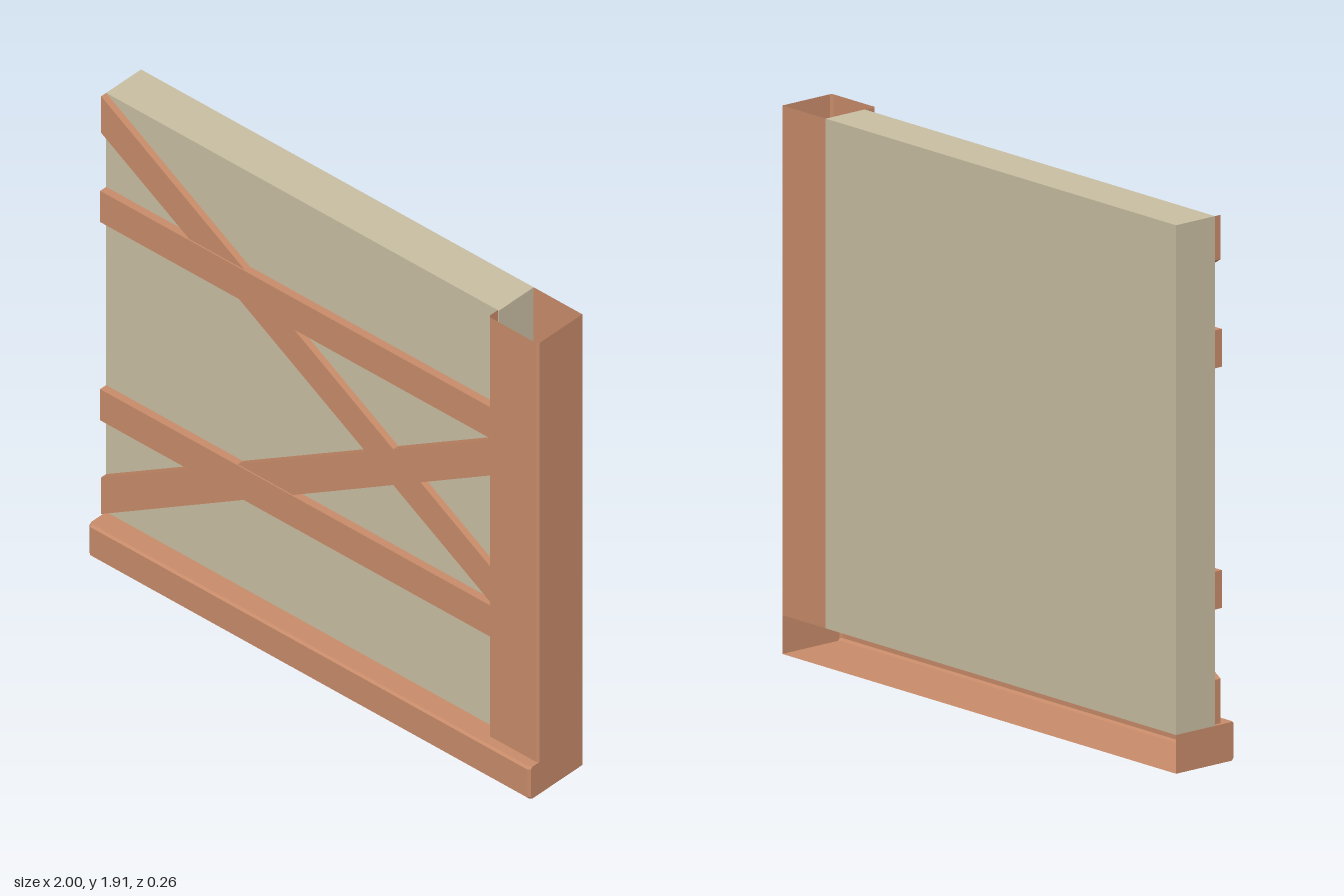
import * as THREE from 'three';

const wood = new THREE.MeshStandardMaterial({ color: 0xc98c6a, side: THREE.DoubleSide });
const plaster = new THREE.MeshStandardMaterial({ color: 0xcabfa3 });

const BACK = -0.132, FRONT = 0.132, FACE = 0.042, POST_FRONT = 0.089;
const TOP = 1.91, SILL = 0.135, POST_X = 0.775, BEVEL = 0.008;

// Flat-shaded skin across successive open cross-sections
function sheet(sections) {
  const pos = [];
  for (let i = 0; i < sections.length - 1; i++) {
    for (let j = 0; j < sections[i].length - 1; j++) {
      const a = sections[i][j], b = sections[i][j + 1];
      const c = sections[i + 1][j + 1], d = sections[i + 1][j];
      pos.push(...a, ...c, ...b, ...a, ...d, ...c);
    }
  }
  const geo = new THREE.BufferGeometry();
  geo.setAttribute('position', new THREE.Float32BufferAttribute(pos, 3));
  geo.computeVertexNormals();
  return geo;
}

// Flat board cut from an outline in x, y, standing proud of the panel
function board(points, front) {
  const shape = new THREE.Shape(points.map(([x, y]) => new THREE.Vector2(x, y)));
  const geo = new THREE.ExtrudeGeometry(shape, { depth: front - FACE, bevelEnabled: false });
  return geo.translate(0, 0, FACE);
}

export function createModel() {
  const group = new THREE.Group();
  const add = (name, geometry, material) => {
    const mesh = new THREE.Mesh(geometry, material);
    mesh.name = name;
    group.add(mesh);
  };

  // Plaster infill panel
  const panel = new THREE.BoxGeometry(POST_X + 0.005 + 1, TOP - SILL, FACE - BACK);
  panel.translate((POST_X + 0.005 - 1) / 2, (TOP + SILL) / 2, (FACE + BACK) / 2);
  add('wallPanel', panel, plaster);

  // Sill: open-backed trough with bevelled front edges and closed ends
  const sillSection = (x, f) => [
    [x, 0, BACK], [x, 0, f - BEVEL], [x, BEVEL, f],
    [x, SILL - BEVEL, f], [x, SILL, f - BEVEL], [x, SILL, POST_FRONT],
  ];
  const endPoint = (x) => Array.from({ length: 6 }, () => [x, SILL, BACK]);
  add('sillBeam', sheet([
    endPoint(-1), sillSection(-1, FRONT - BEVEL), sillSection(-1 + BEVEL, FRONT),
    sillSection(1 - BEVEL, FRONT), sillSection(1, FRONT - BEVEL), endPoint(1),
  ]), wood);

  // Ledge joining the sill to the panel, stopping at the post
  add('sillLedge', sheet([-1, POST_X].map((x) => [[x, SILL, POST_FRONT], [x, SILL, FACE]])), wood);

  // Corner post: hollow, open at top and bottom
  const postProfile = [
    [POST_X, FACE], [POST_X, POST_FRONT - BEVEL], [POST_X + BEVEL, POST_FRONT],
    [1 - BEVEL, POST_FRONT], [1, POST_FRONT - BEVEL], [1, BACK], [POST_X + 0.005, BACK],
  ];
  add('cornerPost', sheet([TOP, SILL].map((y) => postProfile.map(([x, z]) => [x, y, z]))), wood);

  // Horizontal rails
  for (const [name, y0, y1] of [['lowerRail', 0.54, 0.672], ['upperRail', 1.38, 1.512]]) {
    add(name, board([[-1, y0], [POST_X, y0], [POST_X, y1], [-1, y1]], 0.072), wood);
  }

  // Crossing diagonal braces
  add('fallingBrace', board([[-1, 1.755], [POST_X, 0.675], [POST_X, 0.825], [-1, TOP]], 0.067), wood);
  add('risingBrace', board([[-1, 0.14], [POST_X, 1.225], [POST_X, 1.375], [-1, 0.295]], 0.067), wood);

  return group;
}
